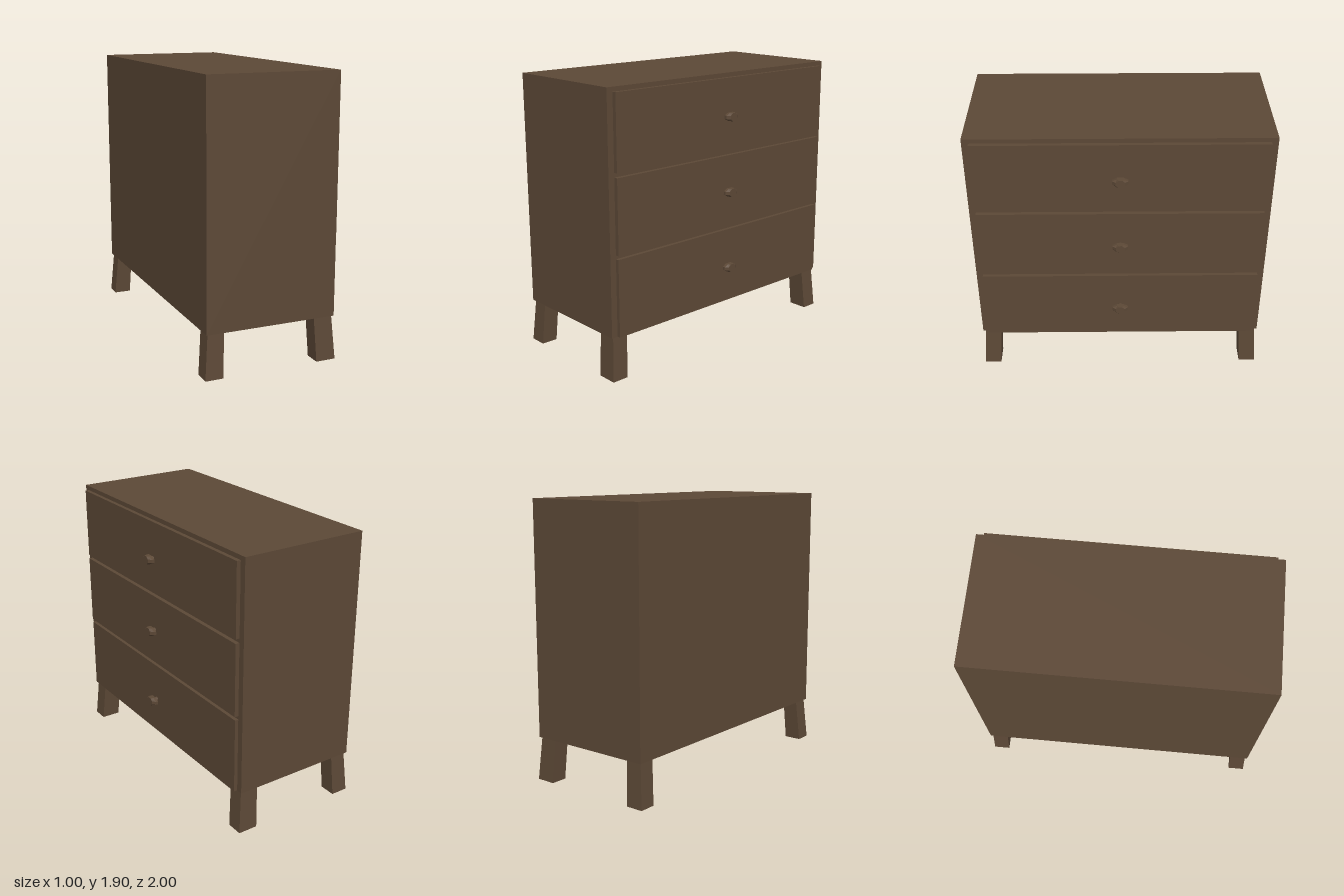
import * as THREE from 'three';

const wood = new THREE.MeshStandardMaterial({ color: 0x5c4836 });
wood.name = 'dark brown wood';

function add(parent, name, geometry) {
  const mesh = new THREE.Mesh(geometry, wood);
  mesh.name = name;
  parent.add(mesh);
  return mesh;
}

// Box given by its minimum and maximum corners
function boxBetween(x0, x1, y0, y1, z0, z1) {
  return new THREE.BoxGeometry(x1 - x0, y1 - y0, z1 - z0)
    .translate((x0 + x1) / 2, (y0 + y1) / 2, (z0 + z1) / 2);
}

// Splayed leg: a box whose top and bottom faces have their own x and z ranges
function legGeometry(height, bottom, top) {
  const geometry = new THREE.BoxGeometry(1, height, 1).translate(0, height / 2, 0);
  const p = geometry.attributes.position;
  for (let i = 0; i < p.count; i++) {
    const [x0, x1, z0, z1] = p.getY(i) < height / 2 ? bottom : top;
    p.setX(i, p.getX(i) < 0 ? x0 : x1);
    p.setZ(i, p.getZ(i) < 0 ? z0 : z1);
  }
  const flat = geometry.toNonIndexed();
  flat.computeVertexNormals();
  return flat;
}

// Oval eight-sided knob head pointing along +x, with its face narrowed in z
function knobHeadGeometry() {
  const r = 1 / Math.cos(Math.PI / 8);
  const geometry = new THREE.CylinderGeometry(r, r, 0.037, 8, 2, false, Math.PI / 8);
  geometry.rotateZ(-Math.PI / 2);
  const p = geometry.attributes.position;
  for (let i = 0; i < p.count; i++) {
    const front = p.getX(i) > 0.01;
    p.setY(i, p.getY(i) * 0.028);
    p.setZ(i, p.getZ(i) * (front ? 0.03 : 0.053));
  }
  const flat = geometry.toNonIndexed();
  flat.computeVertexNormals();
  return flat;
}

export function createModel() {
  const model = new THREE.Group();
  model.name = 'chestOfDrawers';

  add(model, 'cabinet', boxBetween(-0.49, 0.415, 0.3, 1.905, -0.994, 0.994));

  // Three drawers, each with a knob
  const drawers = [
    { y0: 0.302, y1: 0.825, front: 0.44, knobY: 0.56 },
    { y0: 0.85, y1: 1.35, front: 0.443, knobY: 1.1 },
    { y0: 1.38, y1: 1.875, front: 0.443, knobY: 1.62 },
  ];
  for (const { y0, y1, front, knobY } of drawers) {
    const drawer = new THREE.Group();
    drawer.name = 'drawer';
    model.add(drawer);
    add(drawer, 'drawerFront', boxBetween(0.41, front, y0, y1, -0.95, 0.95));
    const stem = new THREE.CylinderGeometry(0.018, 0.018, 0.04, 8).rotateZ(-Math.PI / 2);
    add(drawer, 'knobStem', stem).position.set(0.452, knobY, 0);
    add(drawer, 'knobHead', knobHeadGeometry()).position.set(0.4815, knobY, 0);
  }

  // Four splayed legs
  const legs = [
    { name: 'backLeg', bottom: [-0.502, -0.38], top: [-0.478, -0.365] },
    { name: 'frontLeg', bottom: [0.29, 0.428], top: [0.275, 0.405] },
  ];
  for (const { name, bottom, top } of legs) {
    add(model, name, legGeometry(0.3, [...bottom, 0.885, 1], [...top, 0.865, 0.978]));
    add(model, name, legGeometry(0.3, [...bottom, -1, -0.885], [...top, -0.978, -0.865]));
  }
  return model;
}
